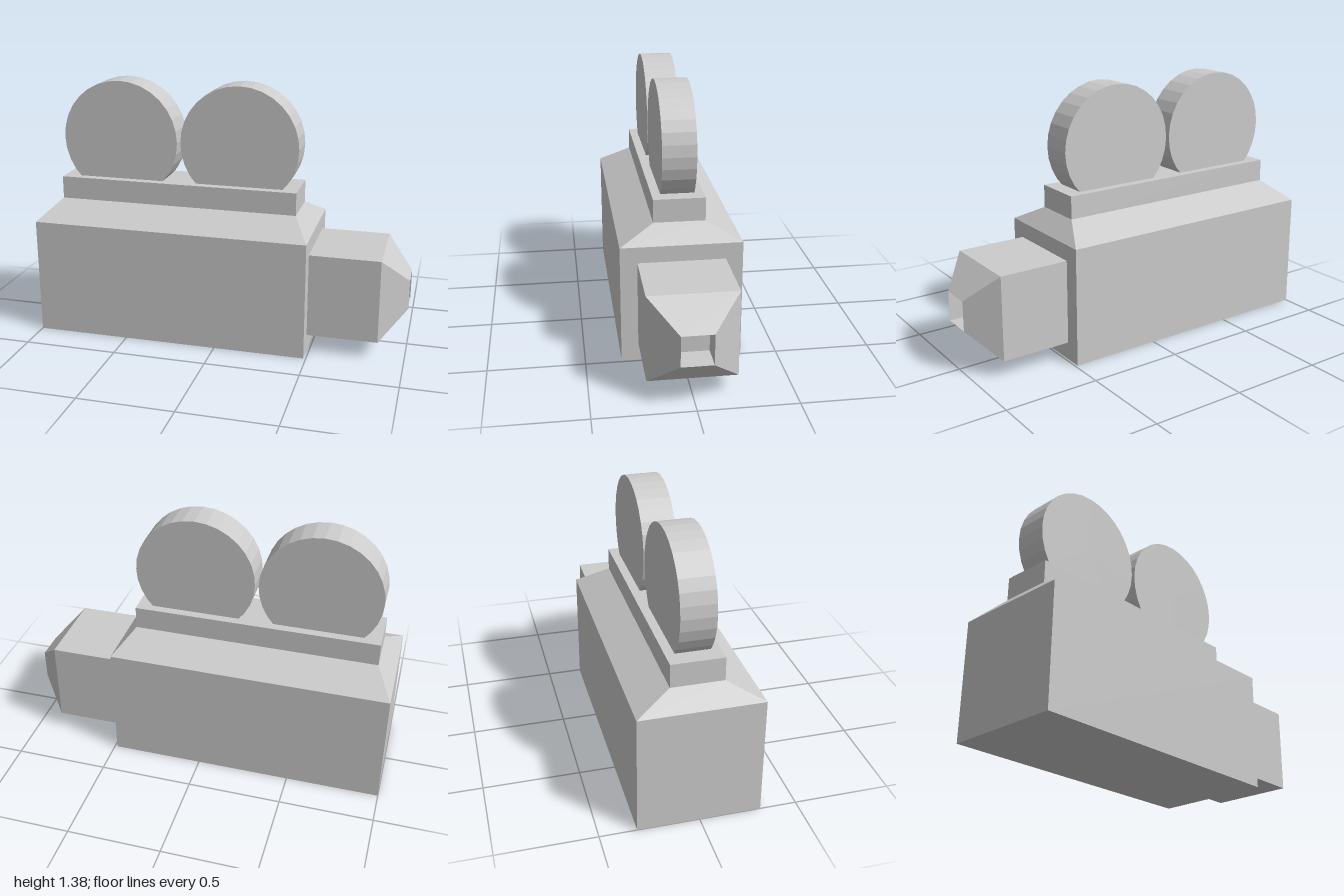
import * as THREE from 'three';

const material = new THREE.MeshStandardMaterial({ color: 0xcccccc, flatShading: true });

// Skins four-cornered sections (counterclockwise seen from the far end) and caps both ends
function loft(sections) {
  const pos = [];
  const quad = (a, b, c, d) => [a, b, c, a, c, d].forEach(p => pos.push(...p));
  for (let s = 0; s < sections.length - 1; s++) {
    const lo = sections[s], hi = sections[s + 1];
    for (let i = 0; i < 4; i++) {
      const j = (i + 1) % 4;
      quad(lo[i], lo[j], hi[j], hi[i]);
    }
  }
  quad(...[...sections[0]].reverse());
  quad(...sections[sections.length - 1]);
  const geometry = new THREE.BufferGeometry();
  geometry.setAttribute('position', new THREE.Float32BufferAttribute(pos, 3));
  geometry.computeVertexNormals();
  return geometry;
}

// Horizontal rectangle at height y
const levelRect = (y, x0, x1, z) => [[x0, y, z], [x1, y, z], [x1, y, -z], [x0, y, -z]];

// Upright square at position x, centred on the lens axis
const LENS_Y = 0.32;
const lensRect = (x, h) => [
  [x, LENS_Y - h, h], [x, LENS_Y - h, -h], [x, LENS_Y + h, -h], [x, LENS_Y + h, h],
];

export function createModel() {
  const model = new THREE.Group();
  model.name = 'movieCamera';
  const add = (name, geometry) => {
    const mesh = new THREE.Mesh(geometry, material);
    mesh.name = name;
    model.add(mesh);
    return mesh;
  };

  // Body with sloped shoulders and a raised reel mount
  add('body', loft([
    levelRect(0, -1, 0.487, 0.313),
    levelRect(0.63, -1, 0.487, 0.313),
    levelRect(0.723, -0.91, 0.398, 0.134),
    levelRect(0.845, -0.91, 0.398, 0.134),
  ]));

  // Square lens, tapered to a tip with a square recess
  add('lens', loft([
    lensRect(0.487, 0.225),
    lensRect(0.86, 0.225),
    lensRect(1, 0.08),
    lensRect(0.86, 0.08),
  ]));

  // Two film reels sunk into the mount
  for (const [name, x] of [['rearReel', -0.582], ['frontReel', 0.079]]) {
    const geometry = new THREE.CylinderGeometry(0.321, 0.321, 0.175, 32);
    geometry.rotateX(Math.PI / 2);
    add(name, geometry).position.set(x, 1.06, 0);
  }

  return model;
}
